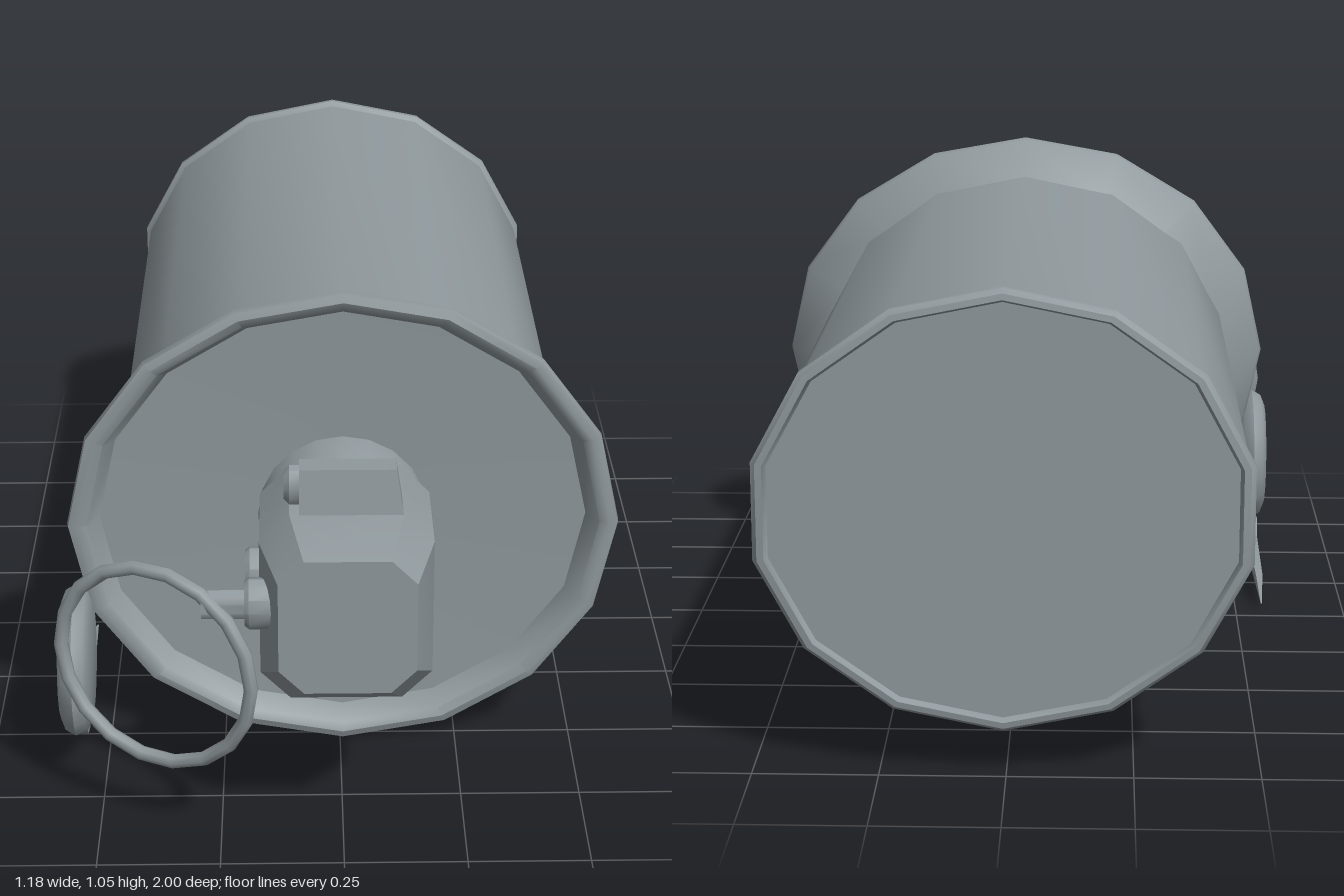
import * as THREE from 'three';
import { toCreasedNormals } from 'three/addons/utils/BufferGeometryUtils.js';

const CX = 0.006, CY = 0.53;

export function createModel() {
  const model = new THREE.Group();
  model.name = 'canister';
  const steel = new THREE.MeshStandardMaterial({ color: 0x8f989c });
  steel.name = 'steelGrey';

  const add = (name, geometry, x = 0, y = 0, z = 0, crease = 0.6) => {
    const mesh = new THREE.Mesh(toCreasedNormals(geometry, crease), steel);
    mesh.name = name;
    mesh.position.set(x, y, z);
    model.add(mesh);
    return mesh;
  };

  // Turned part along z: profile of [radius, z] from back to front
  const turned = (profile, sides, sy = 1) =>
    new THREE.LatheGeometry(profile.map(([r, z]) => new THREE.Vector2(r, z)), sides)
      .rotateX(Math.PI / 2).scale(1, sy, 1);

  // Turned part along x
  const turnedX = (profile, sides) => turned(profile, sides).rotateY(Math.PI / 2);

  // Lofts chamfered rectangles along z: [z, halfWidth, bottom, top, chamfer]
  const loft = (sections) => {
    const pos = [], index = [], n = 8;
    for (const [z, w, b, t, c] of sections) {
      for (const [x, y] of [[w, b + c], [w, t - c], [w - c, t], [c - w, t],
        [-w, t - c], [-w, b + c], [c - w, b], [w - c, b]]) pos.push(x, y, z);
    }
    for (let s = 0; s < sections.length - 1; s++) {
      for (let i = 0; i < n; i++) {
        const a = s * n + i, b = s * n + (i + 1) % n;
        index.push(a, b, b + n, a, b + n, a + n);
      }
    }
    const last = (sections.length - 1) * n;
    for (let i = 1; i < n - 1; i++) {
      index.push(0, i + 1, i, last, last + i, last + i + 1);
    }
    const g = new THREE.BufferGeometry();
    g.setAttribute('position', new THREE.Float32BufferAttribute(pos, 3));
    g.setIndex(index);
    return g;
  };

  // Body with rolled back rim
  add('body', turned([[0, -0.985], [0.465, -0.985], [0.472, -1], [0.486, -0.998],
    [0.496, -0.985], [0.496, -0.972], [0.485, -0.96], [0.485, 0.43], [0, 0.43]], 14, 0.89), CX, 0.535);

  // Flared front flange with a dished face
  add('flange', turned([[0, 0.41], [0.475, 0.41], [0.575, 0.495], [0.581, 0.508], [0.578, 0.524],
    [0.56, 0.53], [0.54, 0.522], [0.515, 0.475], [0.2, 0.465], [0, 0.465]], 16, 0.9), CX, 0.527, 0, 0.75);

  // Stepped neck
  add('neck', turned([[0, 0.45], [0.18, 0.45], [0.175, 0.55], [0.168, 0.565], [0.13, 0.565],
    [0.13, 0.575], [0.157, 0.575], [0.157, 0.64], [0, 0.64]], 20), CX, CY - 0.005);

  // Fuse head
  add('fuseHead', loft([
    [0.63, 0.155, 0.35, 0.7, 0.05], [0.66, 0.172, 0.32, 0.73, 0.06],
    [0.88, 0.172, 0.32, 0.73, 0.06], [1.0, 0.135, 0.4, 0.69, 0.05]]), CX, 0, 0, 0.5);

  // Tapered lug on top of the head
  const lug = new THREE.BoxGeometry(0.205, 0.1, 0.085);
  const lp = lug.attributes.position;
  for (let i = 0; i < lp.count; i++) {
    if (lp.getY(i) > 0) {
      lp.setZ(i, lp.getZ(i) * 0.6);
      if (lp.getX(i) > 0) lp.setX(i, lp.getX(i) - 0.015);
    }
  }
  add('topLug', lug, 0.016, 0.77, 0.84);
  add('lugKnob', turnedX([[0, -0.017], [0.03, -0.017], [0.042, -0.006], [0.042, 0.017], [0, 0.017]], 12)
    .scale(1, 1, 0.65), -0.1, 0.777, 0.84);

  // Side bosses and safety pin
  for (const [name, z] of [['frontBoss', 0.91], ['rearBoss', 0.78]]) {
    add(name, turnedX([[0, -0.035], [0.046, -0.035], [0.053, -0.026], [0.053, 0.035], [0, 0.035]], 12)
      .scale(1, 1, 0.85), -0.16, 0.553, z);
  }
  add('pin', turnedX([[0, -0.05], [0.031, -0.05], [0.031, 0.05], [0, 0.05]], 10)
    .scale(1, 1, 0.8), -0.23, 0.553, 0.913);

  // Pull ring
  const ring = add('pullRing', new THREE.TorusGeometry(0.217, 0.015, 8, 18), -0.378, 0.39, 0.87, 0.9);
  ring.rotation.y = -0.46;

  // Side lever: rounded disc and bent strap tapering to a point
  add('leverDisc', turnedX([[0, -0.032], [0.125, -0.032], [0.15, -0.022], [0.162, 0],
    [0.15, 0.022], [0.125, 0.032], [0, 0.032]], 18), -0.56, 0.24, 0.583, 0.75);
  const side = new THREE.Shape([[0.6, 0.09], [0.54, 0.03], [0.5, 0.02], [0.04, 0.02],
    [0.14, 0.06], [0.46, 0.06], [0.48, 0.1]].map(([z, y]) => new THREE.Vector2(-z, y)));
  const strap = new THREE.ExtrudeGeometry(side, { depth: 0.026, bevelEnabled: false })
    .translate(0, 0, -0.013).rotateY(Math.PI / 2);
  const sp = strap.attributes.position;
  for (let i = 0; i < sp.count; i++) {
    const z = sp.getZ(i);
    sp.setX(i, sp.getX(i) * THREE.MathUtils.clamp((z - 0.02) / 0.2, 0.1, 1));
  }
  add('leverStrap', strap, -0.56);

  return model;
}
